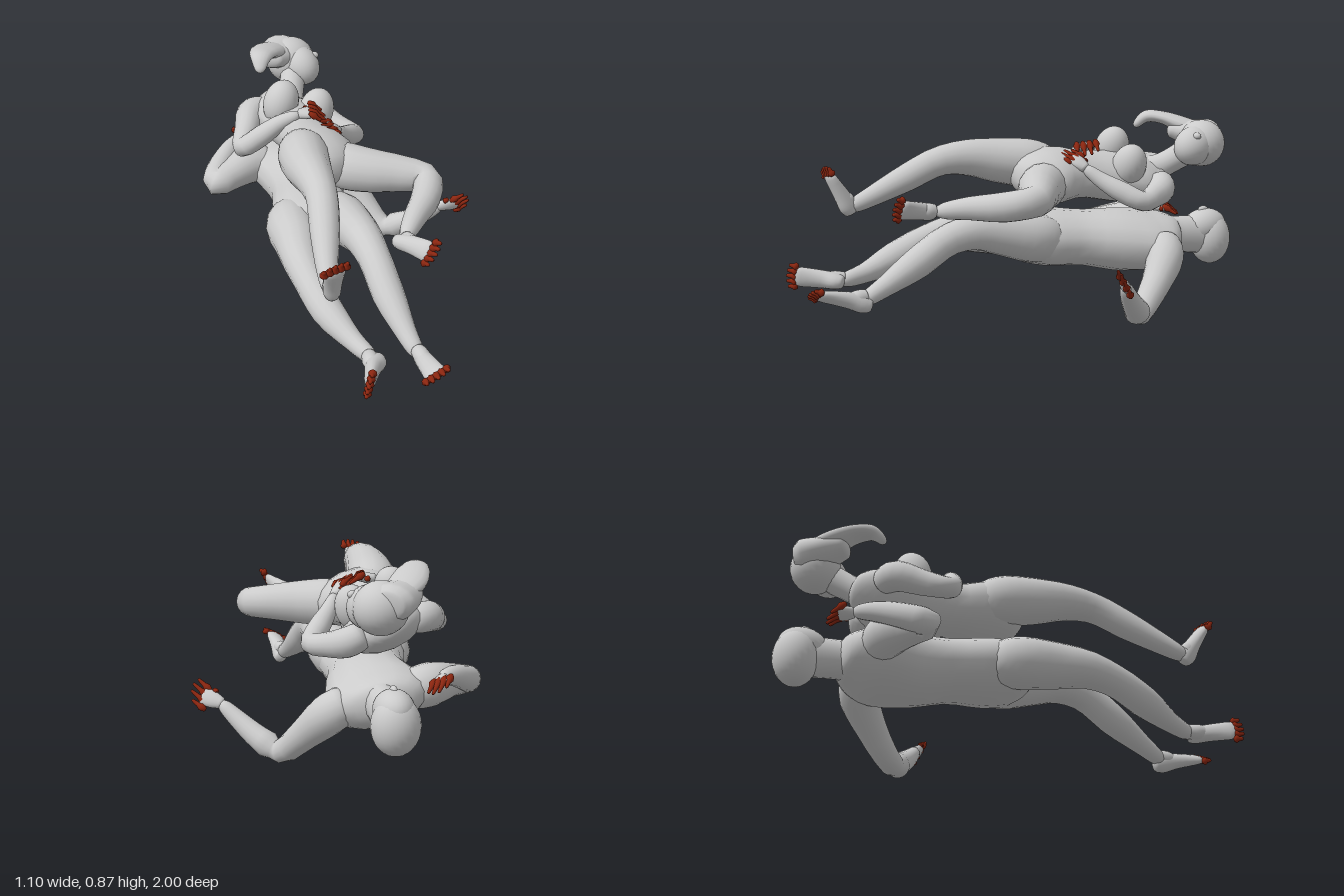
import * as THREE from 'three';

const grey = new THREE.MeshStandardMaterial({ color: 0xcccccc });
const red = new THREE.MeshStandardMaterial({ color: 0x8c2610 });
const V = (a) => new THREE.Vector3(a[0], a[1], a[2]);

function add(group, name, geometry, material = grey) {
  const mesh = new THREE.Mesh(geometry, material);
  mesh.name = name;
  group.add(mesh);
  return mesh;
}

// Smooth body of elliptical sections; station = [x, y, z, halfWidth, halfHeight]
function loft(stations, sideHint, rings = 28, sides = 16) {
  const path = new THREE.CatmullRomCurve3(stations.map(V));
  const sizes = new THREE.CatmullRomCurve3(
    stations.map((s) => new THREE.Vector3(s[3], s[4] ?? s[3], 0)));
  const pos = [], index = [];
  for (let i = 0; i <= rings; i++) {
    const t = (1 - Math.cos((i / rings) * Math.PI)) / 2;
    const p = path.getPoint(t), r = sizes.getPoint(t), dir = path.getTangent(t);
    const side = sideHint ? V(sideHint) : new THREE.Vector3(0, 1, 0).cross(dir);
    side.addScaledVector(dir, -side.dot(dir)).normalize();
    const up = dir.clone().cross(side);
    const e = Math.min(1, Math.min(t, 1 - t) / 0.07);
    const round = Math.sqrt(1 - (1 - e) ** 2);
    for (let j = 0; j < sides; j++) {
      const a = (j / sides) * Math.PI * 2;
      const q = p.clone().addScaledVector(side, Math.cos(a) * r.x * round)
        .addScaledVector(up, Math.sin(a) * r.y * round);
      pos.push(q.x, q.y, q.z);
      if (i < rings) {
        const k = i * sides + j, n = i * sides + ((j + 1) % sides);
        index.push(k, n, k + sides, n, n + sides, k + sides);
      }
    }
  }
  const g = new THREE.BufferGeometry();
  g.setAttribute('position', new THREE.Float32BufferAttribute(pos, 3));
  g.setIndex(index);
  g.computeVertexNormals();
  return g;
}

function ball(group, name, center, radii, tilt = [0, 0, 0]) {
  const m = add(group, name, new THREE.SphereGeometry(1, 24, 16));
  m.position.set(...center);
  m.scale.set(...radii);
  m.rotation.set(...tilt);
}

// Row of red digits at the end of a hand or foot
function digits(group, name, tip, dir, spread, count, length, radius) {
  const d = V(dir).normalize(), s = V(spread);
  for (let i = 0; i < count; i++) {
    const f = i / (count - 1) - 0.5;
    const a = V(tip).addScaledVector(s, f).addScaledVector(d, -length * 0.5);
    const b = a.clone().addScaledVector(d, length * (1.25 - f * f)).addScaledVector(s, f * 0.1);
    const m = a.clone().lerp(b, 0.55);
    add(group, name, loft([[...a, radius], [...m, radius], [...b, radius * 0.6]],
      spread, 8, 8), red);
  }
}

// Foot from heel to ball, with toes
function foot(group, name, heel, ankle, tip, spread) {
  const h = V(heel), t = V(tip), mid = h.clone().lerp(t, 0.5).lerp(V(ankle), 0.18);
  add(group, name, loft([[...h, 0.024, 0.026], [...h.clone().lerp(mid, 0.45), 0.034, 0.04],
    [...mid, 0.038, 0.034], [...t, 0.046, 0.018]], spread, 16));
  add(group, name + 'Ankle', loft([[...ankle, 0.028], [...V(ankle).lerp(mid, 0.5), 0.034],
    [...mid, 0.026]], spread, 12));
  digits(group, name + 'Toe', tip, t.clone().sub(h).toArray(), spread, 5, 0.042, 0.0105);
}

// Palm from wrist to knuckles, with fingers and thumb
function hand(group, name, wrist, tip, spread, curl) {
  const w = V(wrist), t = V(tip), d = t.clone().sub(w);
  add(group, name, loft([[...w, 0.022, 0.02], [...w.clone().lerp(t, 0.55), 0.036, 0.02],
    [...t, 0.036, 0.014]], spread, 12));
  digits(group, name + 'Finger', tip, d.add(V(curl)).toArray(), spread, 4, 0.075, 0.0095);
  const a = w.clone().lerp(t, 0.4).addScaledVector(V(spread), 0.4);
  const b = a.clone().addScaledVector(V(spread), 0.35).lerp(t, 0.3);
  add(group, name + 'Thumb', loft([[...a, 0.013], [...a.clone().lerp(b, 0.5), 0.012],
    [...b, 0.008]], null, 8, 8), red);
}

function lowerFigure() {
  const g = new THREE.Group();
  g.name = 'lowerFigure';
  // Trunk, rolled slightly to its left
  add(g, 'torso', loft([[-0.19, 0.34, 0.08, 0.1, 0.07], [-0.19, 0.345, 0, 0.18, 0.108],
    [-0.175, 0.335, -0.12, 0.18, 0.122], [-0.15, 0.325, -0.27, 0.16, 0.118],
    [-0.12, 0.31, -0.43, 0.185, 0.132], [-0.11, 0.305, -0.56, 0.21, 0.125],
    [-0.1, 0.315, -0.66, 0.18, 0.1], [-0.09, 0.315, -0.74, 0.08, 0.075]], [1, -0.2, 0]));
  add(g, 'neck', loft([[-0.1, 0.315, -0.62, 0.1], [-0.09, 0.315, -0.73, 0.07, 0.082],
    [-0.085, 0.305, -0.86, 0.068, 0.085]]));
  // Head with short hair
  ball(g, 'skull', [-0.085, 0.29, -0.9], [0.097, 0.118, 0.092]);
  ball(g, 'face', [-0.085, 0.345, -0.87], [0.078, 0.078, 0.105], [0.15, 0, 0]);
  ball(g, 'nose', [-0.085, 0.418, -0.865], [0.014, 0.018, 0.025]);
  // Legs
  add(g, 'rightLeg', loft([[-0.26, 0.34, -0.16, 0.08], [-0.305, 0.345, -0.02, 0.108],
    [-0.325, 0.352, 0.12, 0.097], [-0.35, 0.35, 0.25, 0.08], [-0.352, 0.32, 0.38, 0.067],
    [-0.33, 0.265, 0.52, 0.066], [-0.28, 0.215, 0.68, 0.042], [-0.235, 0.195, 0.81, 0.03]]));
  foot(g, 'rightFoot', [-0.215, 0.195, 0.79], [-0.25, 0.205, 0.77], [-0.32, 0.22, 0.975],
    [0.02, 0.085, 0]);
  add(g, 'leftLeg', loft([[-0.12, 0.335, -0.16, 0.08], [-0.085, 0.345, -0.02, 0.105],
    [-0.08, 0.372, 0.12, 0.093], [-0.08, 0.392, 0.25, 0.078], [-0.078, 0.365, 0.38, 0.067],
    [-0.072, 0.285, 0.51, 0.066], [-0.055, 0.195, 0.67, 0.043], [-0.038, 0.14, 0.78, 0.03]]));
  foot(g, 'leftFoot', [-0.025, 0.125, 0.735], [-0.04, 0.165, 0.75], [-0.045, 0.185, 0.965],
    [0.08, 0.04, 0]);
  // Left arm stretched out, right arm folded beside the head
  add(g, 'leftArm', loft([[0.0, 0.31, -0.6, 0.075], [0.08, 0.255, -0.575, 0.082],
    [0.155, 0.155, -0.49, 0.065], [0.235, 0.046, -0.365, 0.05], [0.3, 0.08, -0.31, 0.05],
    [0.38, 0.15, -0.235, 0.038], [0.445, 0.215, -0.18, 0.025]]));
  hand(g, 'leftHand', [0.43, 0.205, -0.19], [0.51, 0.235, -0.14], [-0.03, 0.07, 0.03],
    [0, 0.04, 0.01]);
  add(g, 'rightArm', loft([[-0.22, 0.33, -0.6, 0.08], [-0.31, 0.35, -0.6, 0.088],
    [-0.42, 0.345, -0.54, 0.068], [-0.498, 0.335, -0.51, 0.058], [-0.47, 0.36, -0.58, 0.052],
    [-0.39, 0.4, -0.67, 0.042], [-0.31, 0.42, -0.75, 0.025]]));
  hand(g, 'rightHand', [-0.32, 0.415, -0.74], [-0.29, 0.41, -0.8], [0.06, -0.02, 0.015],
    [0.02, -0.04, 0]);
  return g;
}

function upperFigure() {
  const g = new THREE.Group();
  g.name = 'upperFigure';
  // Trunk, rolled to its left
  add(g, 'torso', loft([[-0.11, 0.575, 0.035, 0.07, 0.055], [-0.13, 0.595, -0.04, 0.155, 0.1],
    [-0.145, 0.61, -0.13, 0.168, 0.112], [-0.145, 0.605, -0.27, 0.125, 0.098],
    [-0.145, 0.59, -0.42, 0.145, 0.105], [-0.145, 0.585, -0.54, 0.165, 0.102],
    [-0.13, 0.6, -0.63, 0.13, 0.07], [-0.1, 0.625, -0.69, 0.06, 0.05]], [1, -0.38, 0]));
  add(g, 'neck', loft([[-0.13, 0.59, -0.59, 0.075], [-0.09, 0.64, -0.68, 0.055],
    [-0.04, 0.71, -0.79, 0.06]]));
  for (const [x, y] of [[-0.205, 0.705], [-0.045, 0.64]])
    ball(g, 'chest', [x, y, -0.46], [0.076, 0.1, 0.076], [-0.15, 0, -0.36]);
  // Head turned to the left, with long swept hair
  ball(g, 'skull', [-0.045, 0.725, -0.825], [0.108, 0.104, 0.104]);
  ball(g, 'face', [-0.015, 0.718, -0.77], [0.08, 0.085, 0.1], [0.35, 0.3, 0]);
  ball(g, 'nose', [0.042, 0.765, -0.75], [0.022, 0.016, 0.018]);
  add(g, 'hairCap', loft([[-0.04, 0.75, -0.91, 0.06, 0.05], [-0.07, 0.755, -0.87, 0.095, 0.072],
    [-0.12, 0.765, -0.81, 0.09, 0.06], [-0.18, 0.785, -0.73, 0.055, 0.035]]));
  add(g, 'hairSweep', loft([[-0.09, 0.775, -0.86, 0.06, 0.03], [-0.16, 0.805, -0.78, 0.075, 0.035],
    [-0.205, 0.832, -0.71, 0.063, 0.028], [-0.235, 0.835, -0.65, 0.045, 0.027],
    [-0.255, 0.79, -0.6, 0.018, 0.015]]));
  // Legs
  add(g, 'rightLeg', loft([[-0.2, 0.63, -0.2, 0.075], [-0.235, 0.652, -0.06, 0.106],
    [-0.258, 0.668, 0.07, 0.097], [-0.272, 0.685, 0.2, 0.079], [-0.285, 0.675, 0.33, 0.064],
    [-0.318, 0.61, 0.46, 0.06], [-0.358, 0.535, 0.6, 0.045], [-0.385, 0.475, 0.72, 0.03]]));
  foot(g, 'rightFoot', [-0.375, 0.455, 0.695], [-0.38, 0.5, 0.7], [-0.39, 0.635, 0.797],
    [0.085, 0.02, 0]);
  add(g, 'leftLeg', loft([[-0.11, 0.58, -0.12, 0.075], [-0.045, 0.572, -0.045, 0.1],
    [0.045, 0.565, 0.015, 0.092], [0.145, 0.56, 0.065, 0.078], [0.238, 0.55, 0.13, 0.064],
    [0.195, 0.53, 0.24, 0.062], [0.1, 0.52, 0.36, 0.048], [0.005, 0.5, 0.48, 0.03]]));
  foot(g, 'leftFoot', [-0.025, 0.495, 0.46], [0.015, 0.505, 0.47], [0.055, 0.525, 0.645],
    [0.045, 0.08, 0]);
  // Arms folded across the waist
  add(g, 'rightArm', loft([[-0.22, 0.61, -0.6, 0.055], [-0.305, 0.62, -0.575, 0.062],
    [-0.36, 0.585, -0.48, 0.052], [-0.405, 0.56, -0.385, 0.043], [-0.34, 0.615, -0.345, 0.045],
    [-0.25, 0.685, -0.315, 0.034], [-0.17, 0.72, -0.295, 0.022]]));
  hand(g, 'rightHand', [-0.18, 0.72, -0.3], [-0.105, 0.725, -0.285], [0.02, 0.01, -0.08],
    [0.01, -0.07, 0.01]);
  add(g, 'leftArm', loft([[-0.05, 0.58, -0.61, 0.055], [0.015, 0.54, -0.59, 0.06],
    [0.075, 0.515, -0.515, 0.05], [0.125, 0.505, -0.44, 0.042], [0.08, 0.54, -0.37, 0.045],
    [0.015, 0.595, -0.29, 0.034], [-0.03, 0.65, -0.23, 0.022]]));
  hand(g, 'leftHand', [-0.02, 0.64, -0.24], [-0.07, 0.69, -0.19], [-0.015, 0.02, -0.07],
    [-0.05, 0, 0.01]);
  return g;
}

export function createModel() {
  const model = new THREE.Group();
  model.name = 'recliningPair';
  model.add(lowerFigure(), upperFigure());
  return model;
}
